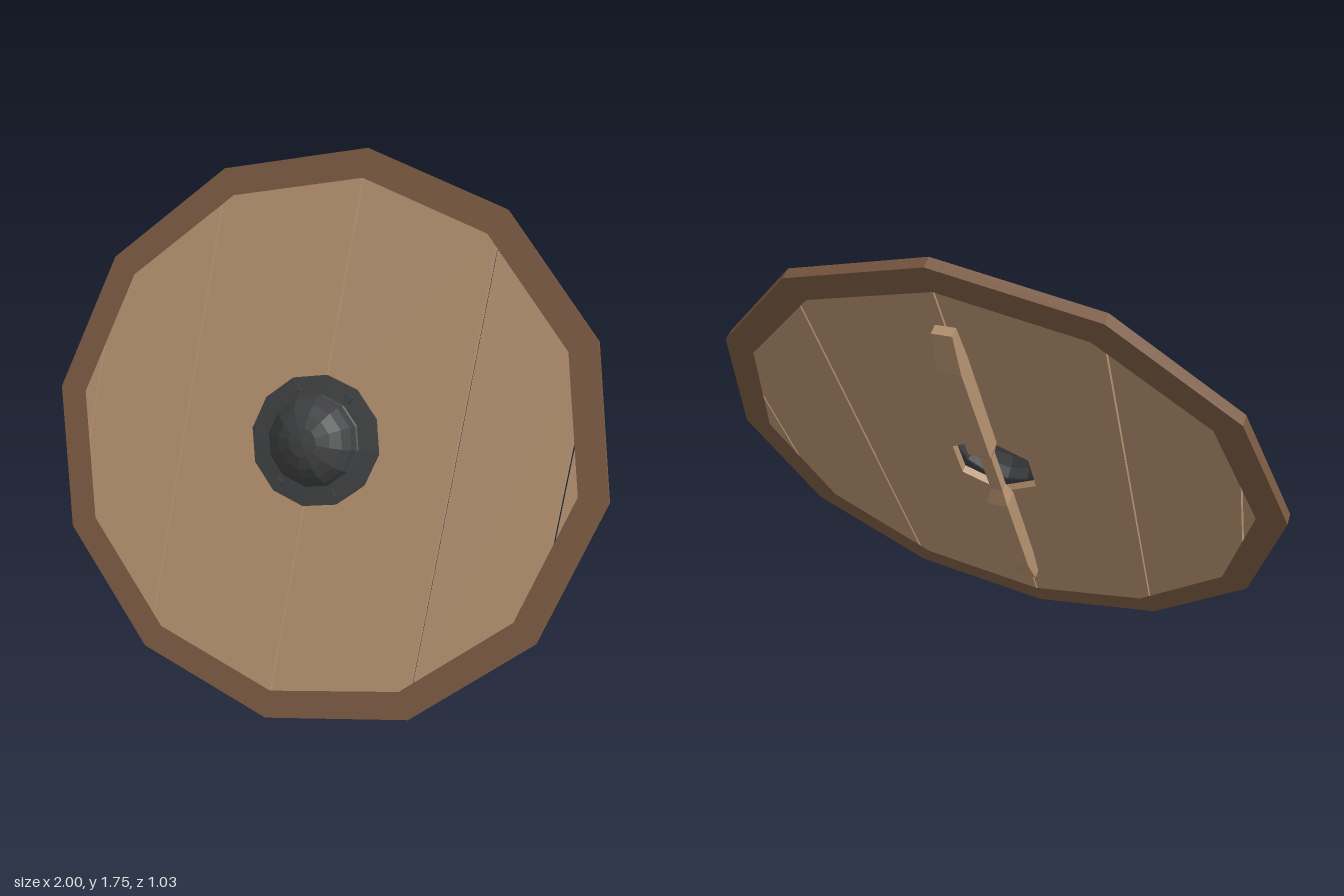
import * as THREE from 'three';

const mat = (name, color) => {
  const m = new THREE.MeshStandardMaterial({ color, flatShading: true });
  m.name = name;
  return m;
};

// regular polygon points, one corner on the +y axis
const ngon = (n, r) => Array.from({ length: n }, (_, i) => {
  const a = (i / n) * Math.PI * 2;
  return new THREE.Vector2(Math.sin(a) * r, Math.cos(a) * r);
});

const plate = (shape, z0, z1) => {
  const g = new THREE.ExtrudeGeometry(shape, { depth: z1 - z0, bevelEnabled: false });
  g.translate(0, 0, z0);
  return g;
};

// board of a twelve-sided disc between x0 and x1; notch cuts half of a hexagonal hole
function plankShape(x0, x1, r, notch, side) {
  const rim = ngon(12, r).slice(0, 4);
  const height = (x) => {
    const i = Math.max(0, Math.min(2, rim.findIndex((p) => p.x > x) - 1));
    const a = rim[i], b = rim[i + 1];
    return a.y + ((b.y - a.y) * (x - a.x)) / (b.x - a.x);
  };
  const xs = [x0, ...rim.map((p) => p.x).filter((x) => x > x0 && x < x1), x1];
  const pts = xs.map((x) => [x, height(x)]);
  pts.push(...xs.slice().reverse().map((x) => [x, -height(x)]));
  if (notch) {
    const w = notch * 0.866;
    pts.push([x0, -notch], [w, -notch / 2], [w, notch / 2], [x0, notch]);
  }
  return new THREE.Shape(pts.map(([x, y]) => new THREE.Vector2(x * side, y)));
}

// bar along y from sections: [y, half width, front z, back z]
function barGeometry(sections) {
  const n = sections.length - 1;
  const g = new THREE.BoxGeometry(1, 1, 1, 1, n, 1);
  const p = g.attributes.position;
  for (let i = 0; i < p.count; i++) {
    const [y, w, zf, zb] = sections[Math.round((p.getY(i) + 0.5) * n)];
    p.setXYZ(i, Math.sign(p.getX(i)) * w, y, p.getZ(i) > 0 ? zf : zb);
  }
  const flat = g.toNonIndexed();
  flat.computeVertexNormals();
  return flat;
}

export function createModel() {
  const wood = mat('light wood', 0xb59170);
  const rimWood = mat('dark wood', 0x7b5a42);
  const iron = mat('dark iron', 0x3f4041);
  iron.side = THREE.DoubleSide;

  const shield = new THREE.Group();
  shield.name = 'shield';
  const add = (name, geometry, material, parent = shield) => {
    const m = new THREE.Mesh(geometry, material);
    m.name = name;
    parent.add(m);
    return m;
  };

  // boards with narrow open gaps, mirrored about the middle
  for (const side of [1, -1]) {
    [[0.003, 0.486, 0.16], [0.492, 0.853, 0], [0.859, 0.94, 0]].forEach(([a, b, notch]) =>
      add('plank', plate(plankShape(a, b, 0.95, notch, side), -0.014, 0.014), wood));
  }

  // twelve-sided rim
  const ring = new THREE.Shape(ngon(12, 1));
  ring.holes.push(new THREE.Path(ngon(12, 0.9)));
  add('rim', plate(ring, -0.02, 0.02), rimWood);

  // hollow boss: flange and faceted dome
  const boss = new THREE.Group();
  boss.name = 'boss';
  shield.add(boss);
  const profile = [[0.23, 0.012], [0.23, 0.03], [0.162, 0.036]];
  for (let i = 0; i <= 5; i++) {
    const a = (i / 5) * Math.PI / 2;
    profile.push([Math.max(0, Math.cos(a) * 0.157), 0.04 + Math.sin(a) * 0.13]);
  }
  const dome = new THREE.LatheGeometry(profile.map(([r, h]) => new THREE.Vector2(r, h)), 12);
  dome.rotateX(Math.PI / 2);
  add('bossDome', dome, iron, boss);

  // six rivets on the flange
  for (let i = 0; i < 6; i++) {
    const a = (i / 6) * Math.PI * 2;
    const r = add('rivet', new THREE.BoxGeometry(0.025, 0.025, 0.02), iron, boss);
    r.position.set(Math.cos(a) * 0.19, Math.sin(a) * 0.19, 0.04);
    r.rotation.z = a;
  }

  // rear handle with tapered ends and a slim grip across the hole
  const half = [[0.1, 0.022, -0.016, -0.048], [0.155, 0.04, -0.012, -0.077],
    [0.6, 0.04, -0.012, -0.077], [0.745, 0.034, -0.012, -0.048]];
  const lower = half.map(([y, ...rest]) => [-y, ...rest]).reverse();
  add('handle', barGeometry([...lower, ...half]), wood);

  // lean back with a slight turn
  shield.rotation.set(-Math.PI / 6, -0.022, 0, 'YXZ');
  shield.position.y = 0.876;
  const model = new THREE.Group();
  model.name = 'roundShield';
  model.add(shield);
  return model;
}
